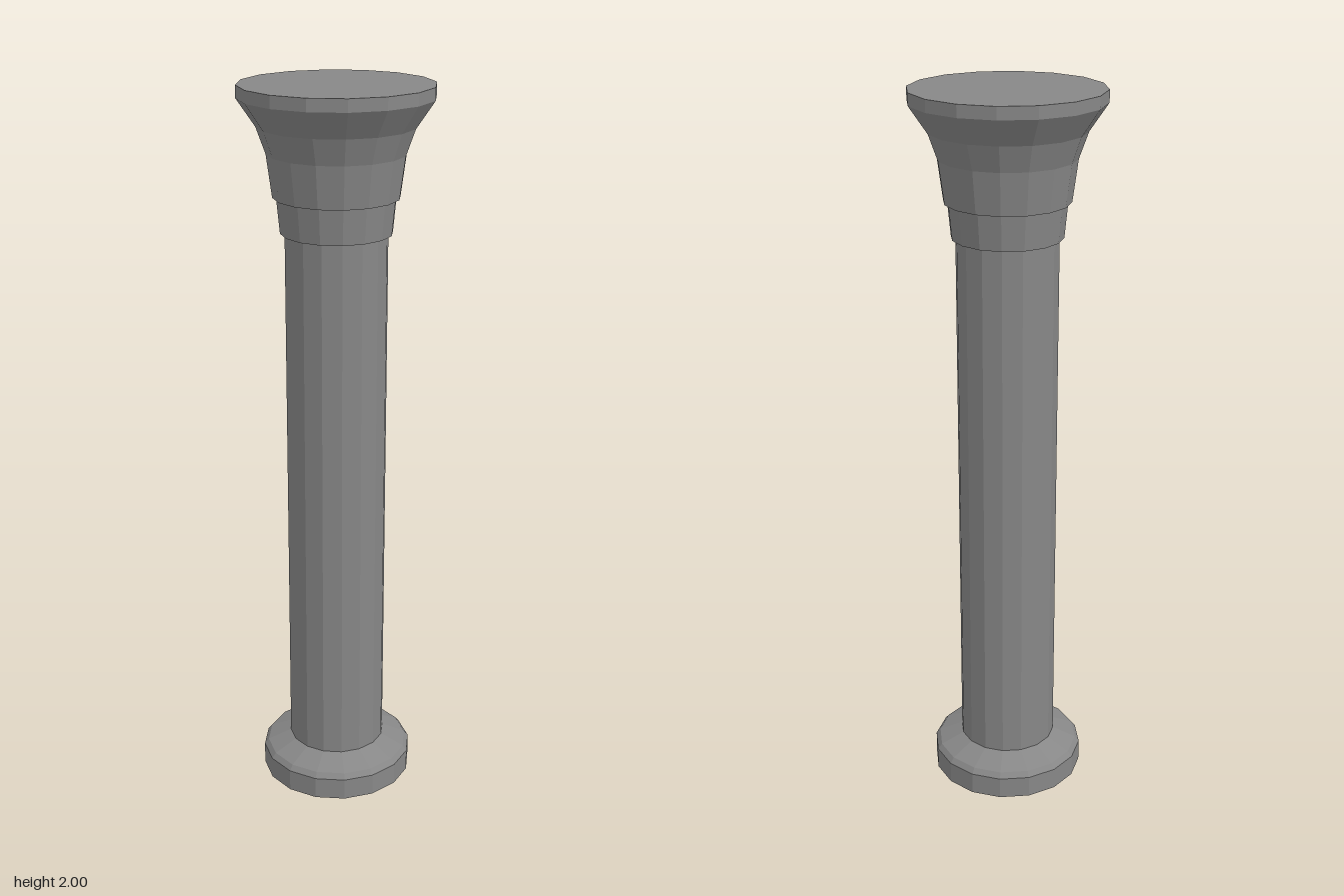
import * as THREE from 'three';

const SIDES = 16;

export function createModel() {
  const model = new THREE.Group();
  model.name = 'column';
  const stone = new THREE.MeshStandardMaterial({ color: 0x878787, flatShading: true });

  // Closed faceted solid turned from [radius, height] points, bottom to top
  const turn = (name, profile) => {
    const points = [[0, profile[0][1]], ...profile, [0, profile.at(-1)[1]]]
      .map(([r, y]) => new THREE.Vector2(r, y));
    const mesh = new THREE.Mesh(new THREE.LatheGeometry(points, SIDES), stone);
    mesh.name = name;
    model.add(mesh);
  };

  // Round foot with a sloping upper edge
  turn('base', [[0.216, 0], [0.216, 0.063], [0.204, 0.078], [0.139, 0.107]]);

  // Straight shaft, its ends set into the base and collar
  turn('shaft', [[0.137, 0.1], [0.137, 1.63]]);

  // Slightly tapered collar under the capital
  turn('collar', [[0.149, 1.617], [0.158, 1.712]]);

  // Flared capital with a flat rim
  turn('capital', [
    [0.168, 1.712], [0.183, 1.825], [0.208, 1.895], [0.257, 1.967], [0.257, 2],
  ]);

  return model;
}
